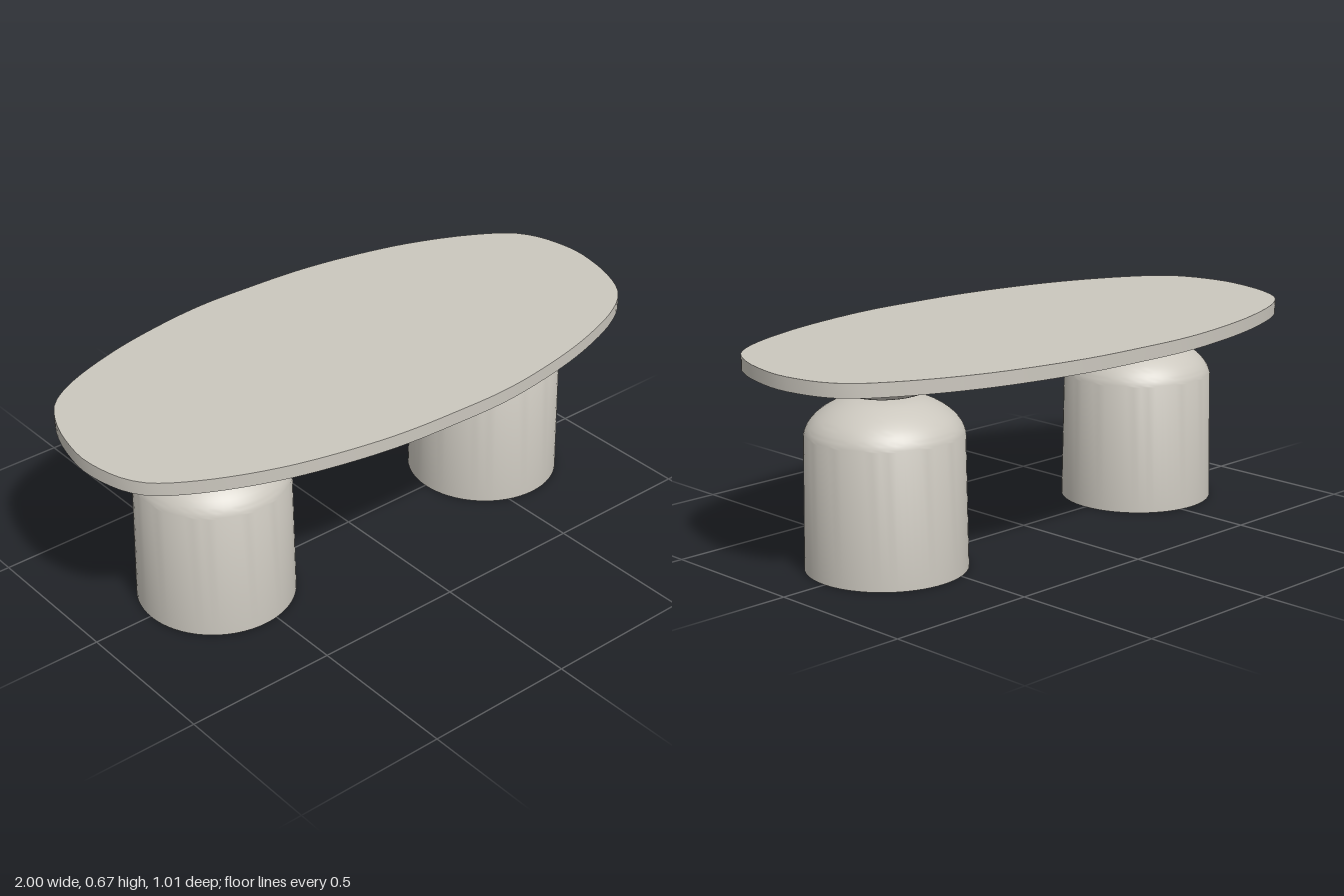
import * as THREE from 'three';
import { toCreasedNormals } from 'three/addons/utils/BufferGeometryUtils.js';

const TOP_Y = 0.628, TOP_THICKNESS = 0.044, NECK_Y = 0.541;

const vec = ([x, y]) => new THREE.Vector2(x, y);

// Solid of revolution with sharp rims and smooth sides
function turned(points) {
  return toCreasedNormals(new THREE.LatheGeometry(points, 64), 0.6);
}

// Asymmetric pebble outline: one half, repeated by a half turn
function tabletopGeometry() {
  const half = [
    [-1, 0], [-0.992, 0.08], [-0.97, 0.16], [-0.925, 0.23], [-0.8, 0.315], [-0.6, 0.402],
    [-0.4, 0.456], [-0.2, 0.49], [0, 0.503], [0.2, 0.506], [0.4, 0.483],
    [0.6, 0.44], [0.8, 0.367], [0.9, 0.297], [0.96, 0.19], [0.99, 0.08],
  ];
  const outline = [...half, ...half.map(([x, z]) => [-x, -z])]
    .map(([x, z]) => new THREE.Vector3(x, -z, 0));
  const curve = new THREE.CatmullRomCurve3(outline, true, 'centripetal');
  const shape = new THREE.Shape(curve.getSpacedPoints(128).slice(0, -1).map((p) => vec([p.x, p.y])));
  const geometry = new THREE.ExtrudeGeometry(shape, { depth: TOP_THICKNESS, bevelEnabled: false });
  geometry.rotateX(-Math.PI / 2);
  return toCreasedNormals(geometry, 0.6);
}

export function createModel() {
  const stone = new THREE.MeshStandardMaterial({ color: 0xcbc7be });
  stone.name = 'warm grey stone';

  const table = new THREE.Group();
  table.name = 'table';
  const add = (parent, name, geometry) => {
    const mesh = new THREE.Mesh(geometry, stone);
    mesh.name = name;
    parent.add(mesh);
    return mesh;
  };

  add(table, 'tabletop', tabletopGeometry()).position.y = TOP_Y;

  // Slightly tapered drum with a domed shoulder
  const shoulder = new THREE.SplineCurve([
    [0.246, 0.425], [0.236, 0.45], [0.212, 0.48], [0.17, 0.51], [0.115, 0.533], [0.06, NECK_Y],
  ].map(vec)).getPoints(20);
  const drum = turned([vec([0, 0]), vec([0.253, 0]), ...shoulder, vec([0, NECK_Y])]);

  // Shallow bowl resting on the dome and meeting the tabletop
  const flare = new THREE.SplineCurve([
    [0.06, NECK_Y], [0.115, 0.552], [0.165, 0.573], [0.206, 0.6], [0.236, TOP_Y],
  ].map(vec)).getPoints(20);
  const bowl = turned([vec([0, NECK_Y]), ...flare]);

  for (const [name, x] of [['rightPedestal', -0.546], ['leftPedestal', 0.591]]) {
    const pedestal = new THREE.Group();
    pedestal.name = name;
    pedestal.position.set(x, 0, 0.004);
    add(pedestal, 'drum', drum);
    add(pedestal, 'bowl', bowl);
    table.add(pedestal);
  }
  return table;
}
